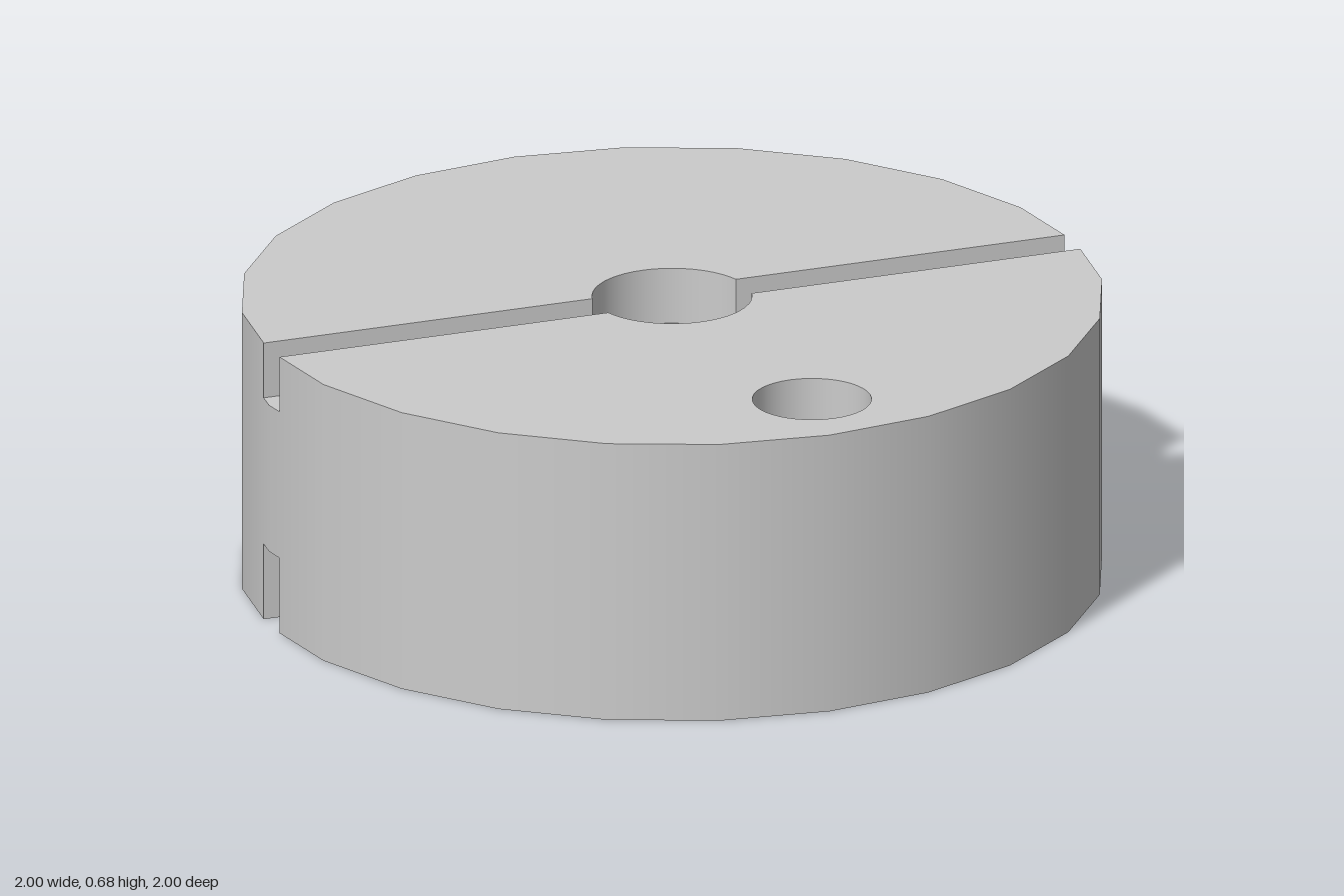
import * as THREE from 'three';
import { mergeGeometries } from 'three/addons/utils/BufferGeometryUtils.js';

const H = 0.68, LOW = 0.185, HIGH = 0.545;   // height, slot floors
const SLOT = 0.05, RECESS = 0.185;           // half slot width, centre recess radius
const HOLE = { x: 0.05, z: 0.76, r: 0.138 };
const EDGE = 1 - SLOT * Math.tan(Math.PI / 24); // rim x where the slot breaks out

// Points [x, z] on an arc; increasing angles give a wall that faces the centre
function arc(r, t0, t1, n, cx = 0, cz = 0) {
  return Array.from({ length: n + 1 }, (_, i) => {
    const t = t0 + (t1 - t0) * i / n;
    return [cx + r * Math.cos(t), cz + r * Math.sin(t)];
  });
}

// Vertical strip along points; centre and sign give smooth radial normals
function wall(points, y0, y1, centre, sign = 1) {
  const pos = [], uv = [], index = [];
  points.forEach(([x, z], i) => {
    pos.push(x, y0, z, x, y1, z);
    uv.push(i, 0, i, 1);
    if (i) {
      const a = 2 * i - 2;
      index.push(a, a + 2, a + 3, a, a + 3, a + 1);
    }
  });
  const g = new THREE.BufferGeometry();
  g.setAttribute('position', new THREE.Float32BufferAttribute(pos, 3));
  g.setAttribute('uv', new THREE.Float32BufferAttribute(uv, 2));
  g.setIndex(index);
  g.computeVertexNormals();
  if (centre) {
    points.forEach(([x, z], i) => {
      const n = new THREE.Vector3(x - centre[0], 0, z - centre[1]).normalize().multiplyScalar(sign);
      g.attributes.normal.setXYZ(2 * i, n.x, 0, n.z);
      g.attributes.normal.setXYZ(2 * i + 1, n.x, 0, n.z);
    });
  }
  return g;
}

// Flat horizontal face looking up or down, with an optional hole
function face(points, y, up, hole) {
  const map = (list) => list.map(([x, z]) => new THREE.Vector2(x, up ? -z : z));
  const shape = new THREE.Shape(map(points));
  if (hole) shape.holes.push(new THREE.Path(map(hole)));
  return new THREE.ShapeGeometry(shape).rotateX(up ? -Math.PI / 2 : Math.PI / 2).translate(0, y, 0);
}

export function createModel() {
  const group = new THREE.Group();
  const material = new THREE.MeshStandardMaterial({ color: 0xcccccc });
  const add = (name, parts, parent = group) => {
    const mesh = new THREE.Mesh(mergeGeometries(parts), material);
    mesh.name = name;
    parent.add(mesh);
  };

  const a = Math.asin(SLOT / RECESS);
  const recess = arc(RECESS, a, Math.PI - a, 20);
  const inner = [[EDGE, SLOT], ...recess, [-EDGE, SLOT]];
  const step = Math.PI / 12;
  const rim = [[-EDGE, SLOT], ...arc(1, 11 * step, step, 10), [EDGE, SLOT]];
  const hole = arc(HOLE.r, 0, 2 * Math.PI, 40, HOLE.x, HOLE.z);

  // The two halves of the disc; the back one is the front turned round
  for (const side of ['front', 'back']) {
    const half = new THREE.Group();
    half.name = side + 'Half';
    if (side === 'back') half.rotation.y = Math.PI;
    group.add(half);

    const opening = side === 'front' ? hole.slice(0, -1) : null;
    const outline = [...inner, ...rim.slice(1, -1)];
    add(side + 'Faces', [face(outline, H, true, opening), face(outline, 0, false, opening)], half);
    add(side + 'Rim', [wall(rim, 0, H, [0, 0])], half);

    // Slot sides and recess walls, above and below the core
    const sides = [[0, LOW], [HIGH, H]].flatMap(([y0, y1]) => [
      wall(inner.slice(0, 2), y0, y1),
      wall(recess, y0, y1, [0, 0], -1),
      wall(inner.slice(-2), y0, y1),
    ]);
    add(side + 'SlotWalls', sides, half);

    // Rim of the core between the slots
    add(side + 'SlotEnd', [wall([[EDGE, SLOT], [1, 0], [EDGE, -SLOT]], LOW, HIGH, [0, 0])], half);
  }

  // Slot floors with the round centre recess
  const turned = inner.map(([x, z]) => [-x, -z]);
  const floor = [...inner, [-1, 0], ...turned, [1, 0]];
  add('slotFloors', [face(floor, HIGH, true), face(floor, LOW, false)]);

  // Off-centre through hole
  add('throughHole', [wall(hole, 0, H, [HOLE.x, HOLE.z], -1)]);

  return group;
}
